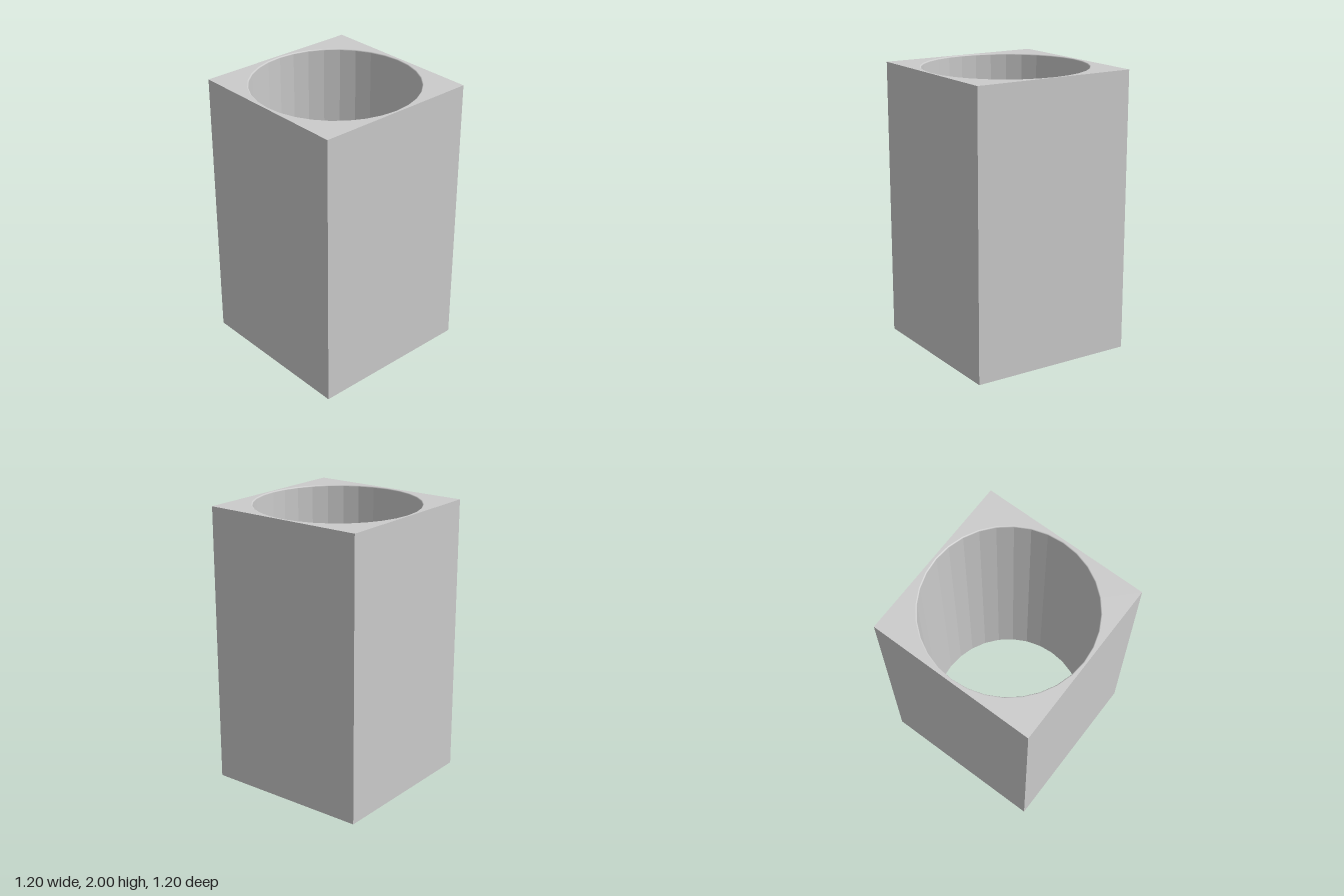
import * as THREE from 'three';

const HALF = 0.6, HEIGHT = 2, BORE = 0.578, ROUND = 0.008, SIDES = 32;

export function createModel() {
  const model = new THREE.Group();
  const flat = new THREE.MeshStandardMaterial({ color: 0xcccccc, flatShading: true });
  const smooth = new THREE.MeshStandardMaterial({ color: 0xcccccc });
  const add = (name, geometry, material) => {
    const mesh = new THREE.Mesh(geometry, material);
    mesh.name = name;
    model.add(mesh);
    return mesh;
  };

  // Square plate with a round, faceted opening, facing +z
  const plate = (radius) => {
    const shape = new THREE.Shape([[-1, -1], [1, -1], [1, 1], [-1, 1]]
      .map(([x, y]) => new THREE.Vector2(x * HALF, y * HALF)));
    const ring = Array.from({ length: SIDES }, (_, i) => {
      const a = -i / SIDES * Math.PI * 2;
      return new THREE.Vector2(Math.cos(a) * radius, Math.sin(a) * radius);
    });
    shape.holes.push(new THREE.Path(ring));
    return new THREE.ShapeGeometry(shape);
  };

  // Four outer walls
  const r = HALF * Math.SQRT2;
  const walls = new THREE.CylinderGeometry(r, r, HEIGHT, 4, 1, true);
  walls.rotateY(Math.PI / 4).translate(0, HEIGHT / 2, 0);
  add('outerWalls', walls, flat);

  // Top and bottom faces around the bore
  add('topFace', plate(BORE + ROUND).rotateX(-Math.PI / 2).translate(0, HEIGHT, 0), flat);
  add('bottomFace', plate(BORE).rotateX(Math.PI / 2), flat);

  // Through bore, profile runs downward so its faces point inward
  add('bore', new THREE.LatheGeometry([
    new THREE.Vector2(BORE, HEIGHT - ROUND),
    new THREE.Vector2(BORE, 0),
  ], SIDES), flat);

  // Small rounded lip at the top of the bore
  const lip = Array.from({ length: 5 }, (_, i) => {
    const a = i / 4 * Math.PI / 2;
    return new THREE.Vector2(
      BORE + ROUND * (1 - Math.sin(a)),
      HEIGHT - ROUND * (1 - Math.cos(a)));
  });
  add('boreLip', new THREE.LatheGeometry(lip, SIDES), smooth);

  return model;
}
